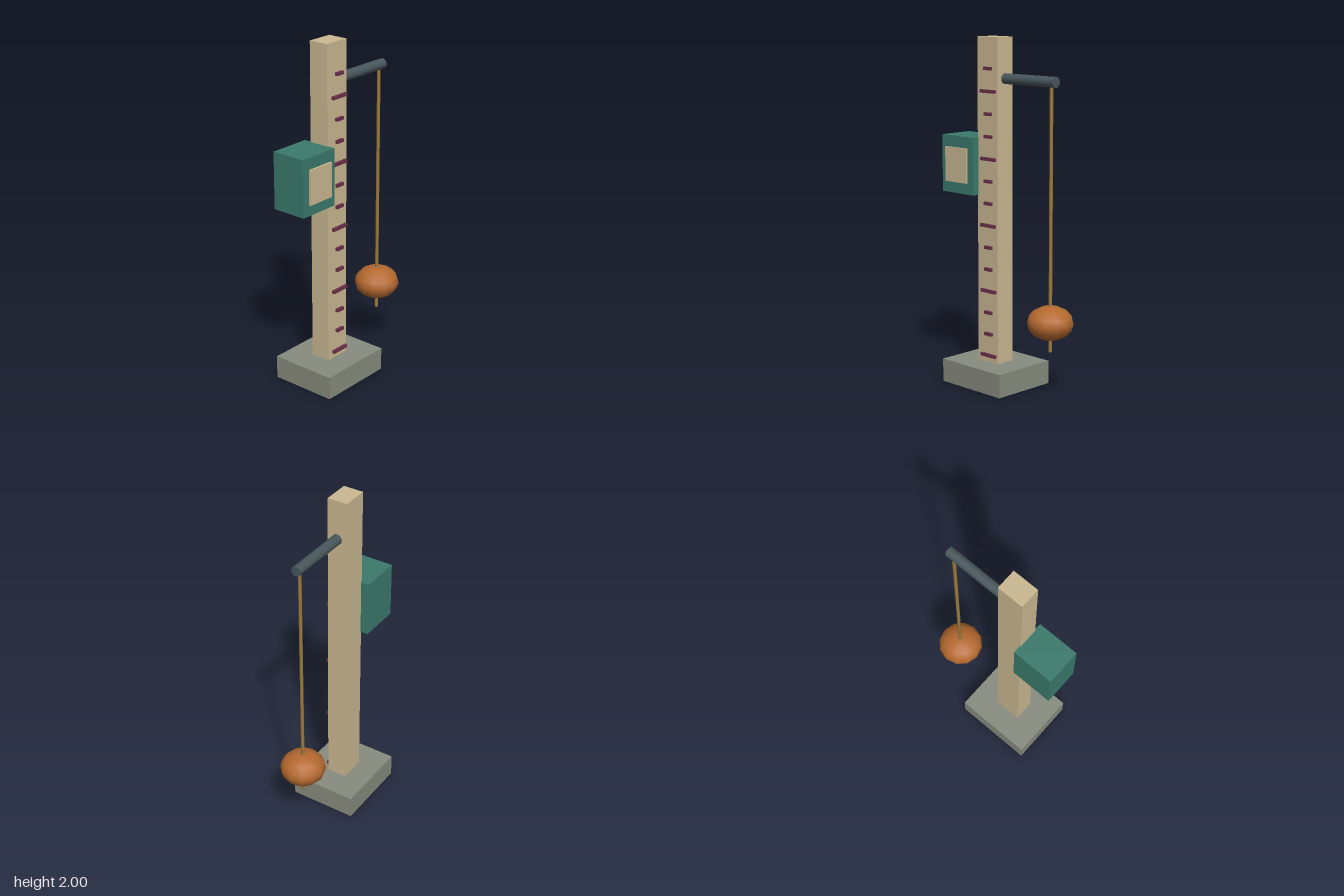
import * as THREE from 'three';

export function createModel() {
  const group = new THREE.Group();
  const mat = (name, color) => {
    const m = new THREE.MeshStandardMaterial({ color });
    m.name = name;
    return m;
  };
  const tan = mat('tan', 0xcab891);
  const stone = mat('stone grey', 0x888b7e);
  const teal = mat('teal', 0x3b7a6c);
  const steel = mat('dark steel', 0x48575c);
  const brass = mat('brass', 0x9c7a3c);
  const orange = mat('burnt orange', 0xb5692f);
  const plum = mat('plum', 0x6b3049);

  const add = (name, geometry, material, x, y, z) => {
    const mesh = new THREE.Mesh(geometry, material);
    mesh.name = name;
    mesh.position.set(x, y, z);
    group.add(mesh);
    return mesh;
  };
  // Box given by its lower and upper corners
  const box = (name, material, [x0, y0, z0], [x1, y1, z1]) =>
    add(name, new THREE.BoxGeometry(x1 - x0, y1 - y0, z1 - z0), material,
      (x0 + x1) / 2, (y0 + y1) / 2, (z0 + z1) / 2);

  // Footing and staff
  box('base', stone, [-0.354, 0, -0.2], [0.112, 0.135, 0.2]);
  box('post', tan, [-0.2, 0.135, -0.06], [-0.042, 2, 0.06]);

  // Gauge marks, every third one long
  for (let i = 0; i < 14; i++) {
    const half = i % 3 === 0 ? 0.057 : 0.027;
    const y = 0.177 + i * 0.1268;
    box('gaugeMark', plum, [-0.109 - half, y - 0.009, 0.061], [-0.109 + half, y + 0.009, 0.077]);
  }

  // Instrument box with its face plate
  box('instrumentBox', teal, [-0.447, 1.105, -0.106], [-0.195, 1.435, 0.105]);
  box('facePlate', tan, [-0.407, 1.17, 0.109], [-0.235, 1.37, 0.121]);

  // Arm, hanging rod and float
  const arm = add('arm', new THREE.CylinderGeometry(0.03, 0.03, 0.387, 12), steel, 0.1515, 1.77, 0);
  arm.rotation.z = Math.PI / 2;
  add('hangingRod', new THREE.CylinderGeometry(0.01, 0.01, 1.5, 8), brass, 0.312, 1.02, 0);
  const float = add('float', new THREE.SphereGeometry(0.132, 12, 8), orange, 0.312, 0.437, 0);
  float.scale.y = 0.73;

  return group;
}
